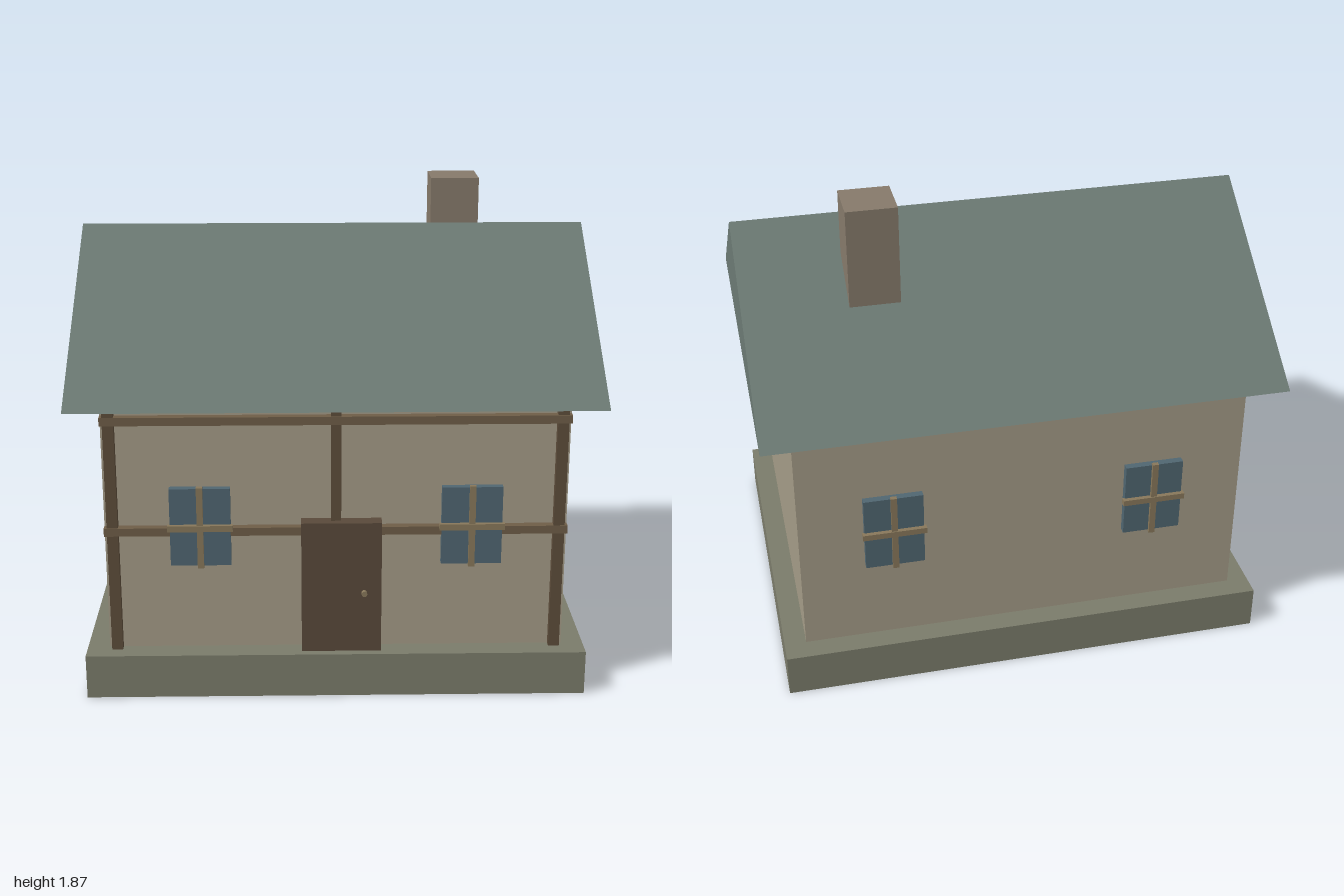
import * as THREE from 'three';

const mat = (color) => new THREE.MeshStandardMaterial({ color });

export function createModel() {
  const house = new THREE.Group();
  house.name = 'house';

  const stone = mat(0x7a7b6a), plaster = mat(0xa39a86), slate = mat(0x6b7973);
  const brick = mat(0x85796a), darkWood = mat(0x5c4c3a), lightWood = mat(0x6e5d47);
  const doorWood = mat(0x59493a), glass = mat(0x4f6570), frameWood = mat(0x87775a);

  // Box given by its lower and upper corner
  function box(name, material, [x0, y0, z0], [x1, y1, z1], parent = house) {
    const mesh = new THREE.Mesh(new THREE.BoxGeometry(x1 - x0, y1 - y0, z1 - z0), material);
    mesh.position.set((x0 + x1) / 2, (y0 + y1) / 2, (z0 + z1) / 2);
    mesh.name = name;
    parent.add(mesh);
    return mesh;
  }

  // Main volumes
  box('foundation', stone, [-0.965, 0, -0.747], [0.965, 0.175, 0.747]);
  box('walls', plaster, [-0.88, 0.175, -0.66], [0.88, 1.143, 0.66]);
  box('chimney', brick, [0.405, 1.3, -0.34], [0.6, 1.87, -0.145]);

  // Gable roof: a triangle extruded along x
  const gable = new THREE.Shape([
    new THREE.Vector2(-0.79, 1.168),
    new THREE.Vector2(0.79, 1.168),
    new THREE.Vector2(0, 1.715),
  ]);
  const roofGeometry = new THREE.ExtrudeGeometry(gable, { depth: 2, bevelEnabled: false });
  roofGeometry.translate(0, 0, -1).rotateY(Math.PI / 2);
  const roof = new THREE.Mesh(roofGeometry, slate);
  roof.name = 'roof';
  house.add(roof);

  // Timber framing on the front
  for (const x of [-0.848, 0, 0.848]) {
    const half = x === 0 ? 0.019 : 0.021;
    const bottom = x === 0 ? 0.66 : 0.175;
    box('post', darkWood, [x - half, bottom, 0.655], [x + half, 1.143, 0.688]);
  }
  for (const y of [0.664, 1.104]) {
    box('rail', lightWood, [-0.88, y - 0.016, 0.655], [0.88, y + 0.016, 0.692]);
  }

  // Door with knob
  box('door', doorWood, [-0.133, 0.175, 0.655], [0.173, 0.705, 0.716]);
  const knob = new THREE.Mesh(new THREE.CylinderGeometry(0.011, 0.011, 0.02, 12), frameWood);
  knob.rotation.x = Math.PI / 2;
  knob.position.set(0.107, 0.42, 0.724);
  knob.name = 'doorKnob';
  house.add(knob);

  // Two windows on the front and two on the back
  for (const angle of [0, Math.PI]) {
    for (const x of [-0.515, 0.515]) {
      const win = new THREE.Group();
      win.name = 'window';
      box('pane', glass, [-0.115, -0.155, 0.667], [0.115, 0.155, 0.695], win);
      box('verticalBar', frameWood, [-0.012, -0.163, 0.69], [0.012, 0.163, 0.708], win);
      box('horizontalBar', frameWood, [-0.124, -0.012, 0.69], [0.124, 0.012, 0.712], win);
      win.position.set(x, 0.684, 0);
      win.rotation.y = angle;
      house.add(win);
    }
  }
  return house;
}
